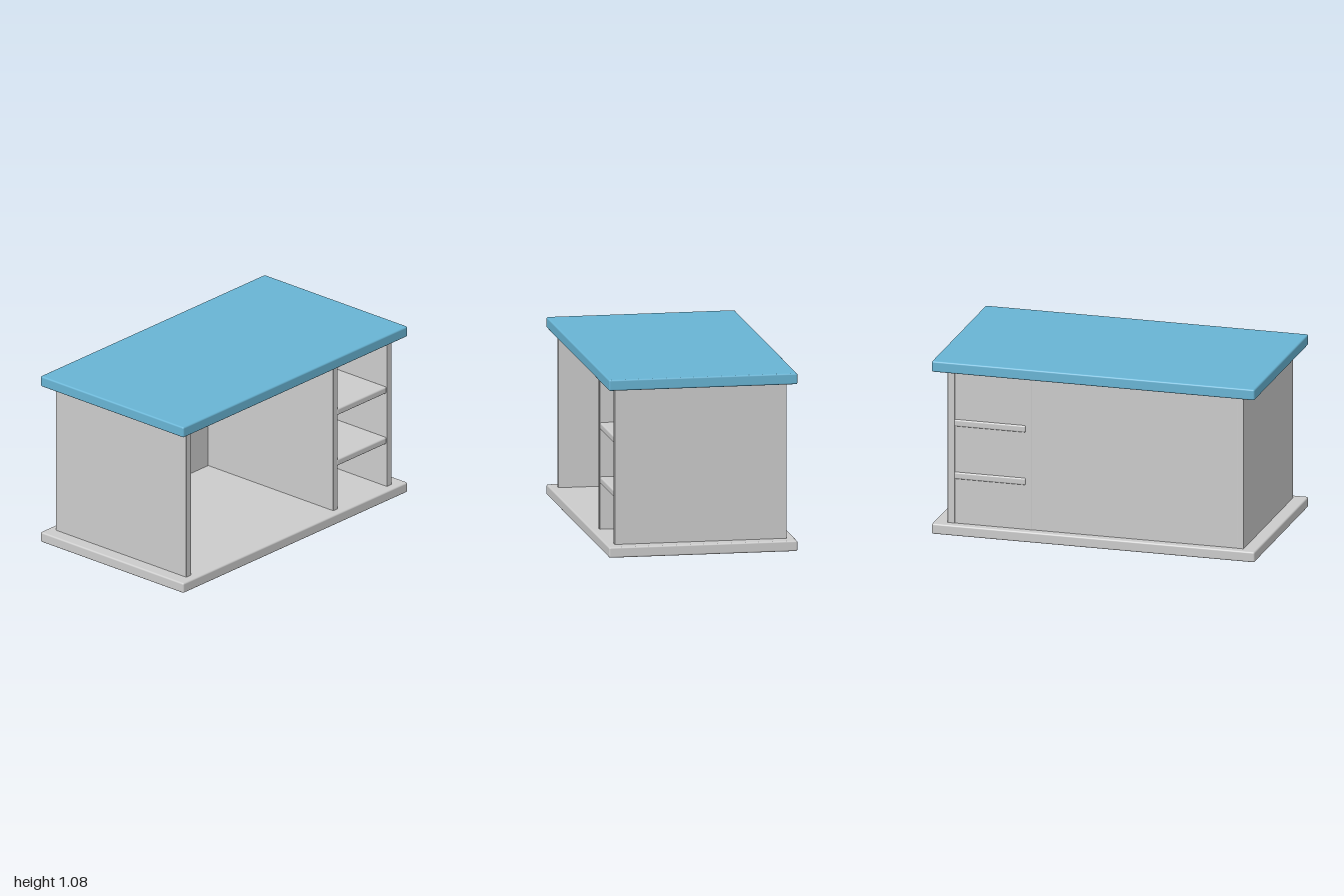
import * as THREE from 'three';
import { RoundedBoxGeometry } from 'three/addons/geometries/RoundedBoxGeometry.js';

const grey = new THREE.MeshStandardMaterial({ color: 0xcccccc });
const blue = new THREE.MeshStandardMaterial({ color: 0x68b4d4 });

// Board given by its [min, max] extents, with slightly softened edges
function board(name, [x0, x1], [y0, y1], [z0, z1], radius, material = grey) {
  const geometry = new RoundedBoxGeometry(x1 - x0, y1 - y0, z1 - z0, 3, radius);
  const mesh = new THREE.Mesh(geometry, material);
  mesh.name = name;
  mesh.position.set((x0 + x1) / 2, (y0 + y1) / 2, (z0 + z1) / 2);
  return mesh;
}

export function createModel() {
  const group = new THREE.Group();
  group.name = 'desk';

  // Overhanging slabs
  group.add(board('basePlate', [-1, 1], [0, 0.064], [-0.57, 0.57], 0.01));
  group.add(board('deskTop', [-1, 1], [1.01, 1.077], [-0.57, 0.57], 0.01, blue));

  // Upright panels, let slightly into the slabs
  const height = [0.05, 1.025];
  const uprights = { rightSide: [-0.918, -0.876], divider: [0.392, 0.434], leftSide: [0.87, 0.915] };
  for (const [name, x] of Object.entries(uprights)) {
    group.add(board(name, x, height, [-0.52, 0.52], 0.003));
  }

  // Back panel closing the knee space and the shelf bay
  group.add(board('backPanel', [-0.88, 0.875], height, [-0.518, -0.476], 0.002));

  // Shelves, their rounded rear edges showing through the back
  for (const y of [0.34, 0.668]) {
    group.add(board('shelf', [0.43, 0.873], [y, y + 0.043], [-0.526, 0.518], 0.01));
  }

  return group;
}
